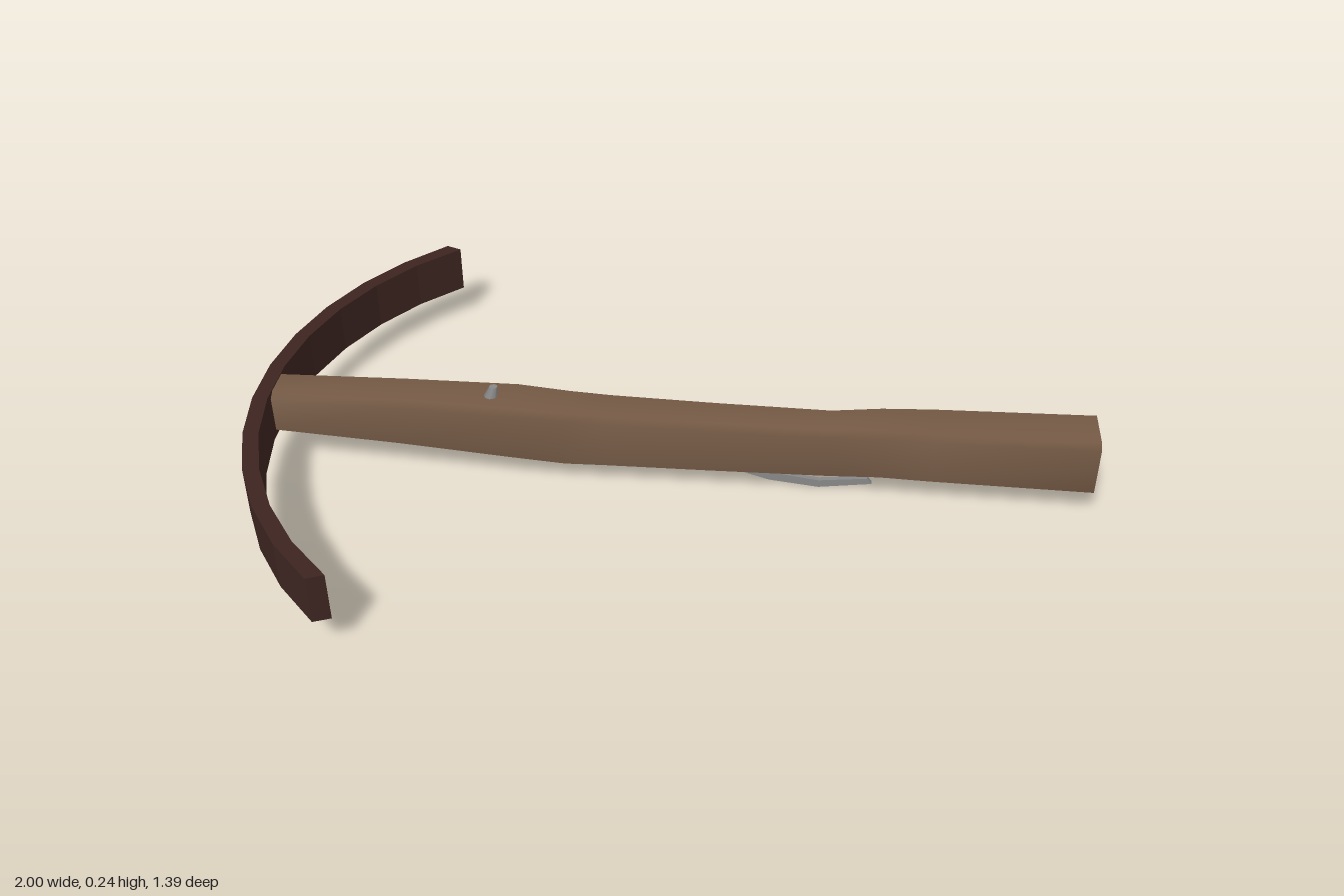
import * as THREE from 'three';

const paint = (color, flatShading = false) => new THREE.MeshStandardMaterial({ color, flatShading });

// Skin over rings of points (all the same length), with a fan closing each end
function loft(rings) {
  const n = rings[0].length, pos = [], idx = [];
  rings.forEach(r => r.forEach(p => pos.push(...p)));
  for (let i = 0; i < rings.length - 1; i++) {
    for (let j = 0; j < n; j++) {
      const a = i * n + j, b = i * n + (j + 1) % n;
      idx.push(a, b, a + n, b, b + n, a + n);
    }
  }
  [0, rings.length - 1].forEach(e => {
    const c = pos.length / 3;
    pos.push(...[0, 1, 2].map(k => rings[e].reduce((s, p) => s + p[k], 0) / n));
    for (let j = 0; j < n; j++) {
      const a = e * n + j, b = e * n + (j + 1) % n;
      idx.push(c, ...(e ? [a, b] : [b, a]));
    }
  });
  const g = new THREE.BufferGeometry();
  g.setAttribute('position', new THREE.Float32BufferAttribute(pos, 3));
  g.setIndex(idx);
  g.computeVertexNormals();
  return g;
}

// Stock: chamfered rectangles along x, soft shaded
function makeStock() {
  // x, bottom, top, back z, front z
  const sections = [
    [-0.97, 0.095, 0.21, -0.056, 0.051],
    [-0.65, 0.083, 0.212, -0.065, 0.06],
    [-0.38, 0.067, 0.21, -0.072, 0.067],
    [-0.25, 0.054, 0.203, -0.066, 0.062],
    [-0.15, 0.055, 0.2, -0.063, 0.06],
    [0.1, 0.057, 0.197, -0.06, 0.058],
    [0.38, 0.061, 0.196, -0.058, 0.056],
    [0.5, 0.07, 0.206, -0.064, 0.061],
    [0.62, 0.07, 0.208, -0.07, 0.065],
    [1, 0.068, 0.214, -0.075, 0.067],
  ];
  const c = 0.018;
  return loft(sections.map(([x, b, t, k, f]) => [
    [x, b, f - c], [x, b + c * 0.7, f], [x, t - c * 0.7, f], [x, t, f - c],
    [x, t, k + c], [x, t - c * 0.7, k], [x, b + c * 0.7, k], [x, b, k + c],
  ].reverse()));
}

// Bow: a flat strip swept along an arc of straight facets
function makeBow() {
  const rings = [], steps = 11, cx = -0.073;
  for (let i = 0; i <= steps; i++) {
    const s = (i / steps) * 2 - 1;
    const point = (r, half, y) => [cx - r * Math.cos(s * half), y, r * Math.sin(s * half)];
    rings.push([
      point(0.927, 0.845, 0.092), point(0.927, 0.845, 0.213),
      point(0.89, 0.866, 0.213), point(0.89, 0.866, 0.092),
    ]);
  }
  return loft(rings.map(r => r.reverse()));
}

// Trigger lever: thin curved bar under the stock
function makeTrigger() {
  const outline = [
    [0.09, 0.057], [0.24, 0.013], [0.36, 0], [0.488, 0.019],
    [0.476, 0.034], [0.36, 0.02], [0.24, 0.036], [0.15, 0.065],
  ].map(p => new THREE.Vector2(...p));
  const g = new THREE.ExtrudeGeometry(new THREE.Shape(outline), { depth: 0.012, bevelEnabled: false });
  return g.translate(0, 0, -0.006);
}

// Nut: small tapered peg leaning toward the butt
function makeNut() {
  const g = new THREE.CylinderGeometry(0.01, 0.019, 0.036, 8);
  const p = g.attributes.position;
  for (let i = 0; i < p.count; i++) p.setX(i, p.getX(i) + p.getY(i) * 0.3);
  return g.translate(-0.431, 0.219, 0);
}

export function createModel() {
  const group = new THREE.Group();
  const add = (name, geometry, material) => {
    const mesh = new THREE.Mesh(geometry, material);
    mesh.name = name;
    group.add(mesh);
  };
  add('stock', makeStock(), paint(0x755a45));
  add('bow', makeBow(), paint(0x3d2520, true));
  add('trigger', makeTrigger(), paint(0x888888));
  add('nut', makeNut(), paint(0x888888));
  return group;
}
